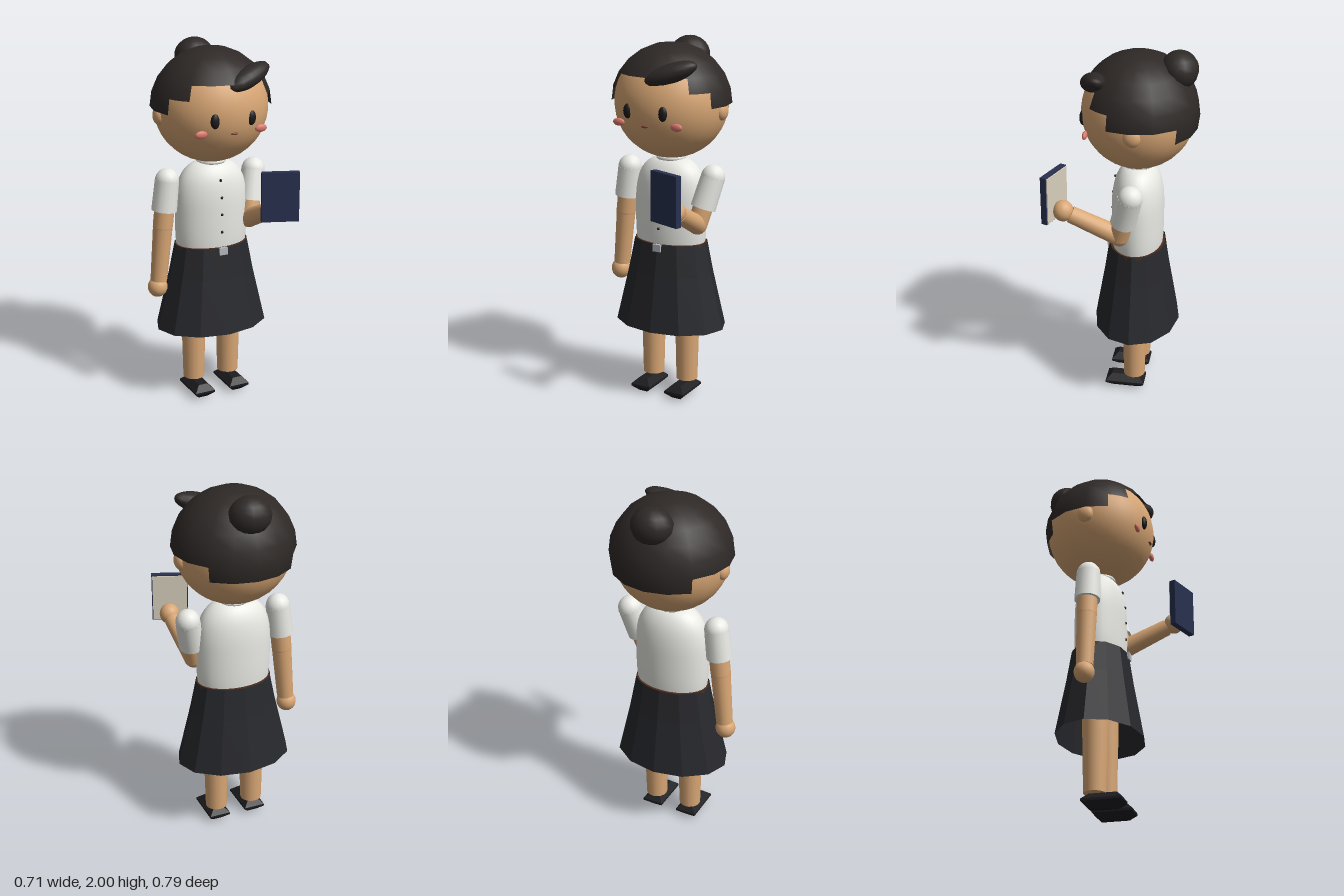
import * as THREE from 'three';

const CX = 0.023, CZ = -0.076; // body axis
const mat = (color, extra = {}) => new THREE.MeshStandardMaterial({ color, ...extra });
const V = (x, y, z) => new THREE.Vector3(x, y, z);

export function createModel() {
  const model = new THREE.Group();
  const skin = mat(0xd9a775), white = mat(0xe9e9e4), dark = mat(0x1c1a1a), shoeMat = mat(0x1d1d20, { flatShading: true });
  const hair = mat(0x2e2927, { side: THREE.DoubleSide });
  const skirtMat = mat(0x27282c, { side: THREE.DoubleSide, flatShading: true });
  const brown = mat(0x4a2c1e), pink = mat(0xdb7a6c), navy = mat(0x28314f), cream = mat(0xd8d0bd), grey = mat(0xb4b8bd);

  const add = (name, geometry, material, pos = V(0, 0, 0), parent = model) => {
    const m = new THREE.Mesh(geometry, material);
    m.name = name;
    m.position.copy(pos);
    parent.add(m);
    return m;
  };
  const ball = (name, material, pos, rx, ry = rx, rz = rx, seg = 16) => {
    const m = add(name, new THREE.SphereGeometry(1, seg, Math.round(seg * 0.75)), material, pos);
    m.scale.set(rx, ry, rz);
    return m;
  };
  // Tapered cylinder from point a to point b
  const limb = (name, material, a, b, ra, rb) => {
    const dir = b.clone().sub(a);
    const m = add(name, new THREE.CylinderGeometry(rb, ra, dir.length(), 16), material, a.clone().add(b).multiplyScalar(0.5));
    m.quaternion.setFromUnitVectors(V(0, 1, 0), dir.normalize());
    return m;
  };

  // Head and stepped hair cap: each patch [from, to, polar limit] in degrees from the face
  const headC = V(CX, 1.665, CZ - 0.002);
  ball('head', skin, headC, 0.312, 0.305, 0.302, 28);
  const hairCap = new THREE.Group();
  hairCap.name = 'hairCap';
  hairCap.position.copy(headC);
  hairCap.scale.set(0.33, 0.32, 0.32);
  model.add(hairCap);
  const rad = THREE.MathUtils.degToRad;
  const patches = [[-45, 45, 60], [45, 67.5, 75], [-67.5, -45, 75], [67.5, 135, 90], [-135, -67.5, 90], [135, 225, 105]];
  for (const [from, to, low] of patches) {
    const g = new THREE.SphereGeometry(1, (to - from) / 22.5, low / 15, rad(from + 90), rad(to - from), 0, rad(low));
    // Sphere angles run the other way round, so each patch is mirrored in x by its symmetric pair
    add('hairPatch', g, hair, V(0, 0, 0), hairCap);
  }
  ball('hairBun', hair, V(CX, 1.9, -0.285), 0.112, 0.1, 0.1, 14);
  const fringe = ball('sweptFringe', hair, V(0.138, 1.848, 0.14), 0.148, 0.052, 0.066, 14);
  fringe.rotation.set(0, rad(18), rad(20));

  // Face
  for (const s of [-1, 1]) {
    ball('eye', dark, V(CX - 0.003 + s * 0.105, 1.645, 0.2), 0.025, 0.04, 0.018);
    ball('cheek', pink, V(CX - 0.003 + s * 0.174, 1.577, 0.178), 0.035, 0.021, 0.013);
    ball('ear', skin, V(CX + s * 0.3, 1.635, -0.087), 0.032, 0.05, 0.047);
  }
  ball('mouth', mat(0x7a4436), V(CX, 1.571, 0.208), 0.021, 0.007, 0.01);

  // Neck, shirt and collar
  add('neck', new THREE.CylinderGeometry(0.06, 0.065, 0.12, 16), skin, V(CX, 1.36, CZ));
  const profile = [[0.2, 0.87], [0.208, 0.95], [0.21, 1.08], [0.206, 1.18], [0.188, 1.26], [0.155, 1.315], [0.11, 1.35], [0.06, 1.362]];
  const curve = new THREE.SplineCurve(profile.map(p => new THREE.Vector2(...p)));
  const shirt = add('shirt', new THREE.LatheGeometry(curve.getPoints(20), 28), white, V(CX, 0, CZ));
  shirt.scale.z = 0.67;
  const collar = add('collar', new THREE.TorusGeometry(0.07, 0.012, 8, 20), white, V(CX, 1.362, CZ));
  collar.rotation.x = Math.PI / 2;
  [[1.275, 0.048], [1.18, 0.062], [1.085, 0.065], [0.985, 0.065]].forEach(([y, z]) =>
    ball('shirtButton', dark, V(CX, y, z), 0.008, 0.008, 0.007, 8));

  // Skirt, belt and buckle
  const skirtLine = [[0.327, 0.413], [0.252, 0.72], [0.215, 0.897]].map(p => new THREE.Vector2(...p));
  const skirt = add('skirt', new THREE.LatheGeometry(skirtLine, 12), skirtMat, V(CX, 0, CZ));
  skirt.scale.z = 0.725;
  const belt = add('belt', new THREE.CylinderGeometry(0.211, 0.213, 0.03, 28), brown, V(CX, 0.883, CZ));
  belt.scale.z = 0.705;
  add('beltBuckle', new THREE.BoxGeometry(0.048, 0.04, 0.02), grey, V(CX, 0.88, 0.08));

  // Legs and chamfered shoes
  const sole = new THREE.Shape([[-0.026, -0.075], [0.026, -0.075], [0.026, 0.075], [-0.026, 0.075]].map(p => new THREE.Vector2(...p)));
  const shoeGeo = new THREE.ExtrudeGeometry(sole, { depth: 0.012, bevelThickness: 0.033, bevelSize: 0.034, bevelSegments: 1 });
  shoeGeo.translate(0, 0, -0.006).rotateX(Math.PI / 2);
  for (const s of [-1, 1]) {
    const x = CX - 0.002 + s * 0.108;
    limb('thigh', skin, V(x, 0.42, CZ), V(x, 0.8, CZ), 0.068, 0.075);
    limb('shin', skin, V(x, 0.085, CZ), V(x, 0.42, CZ), 0.06, 0.068);
    add('shoe', shoeGeo, shoeMat, V(x, 0.04, -0.027));
  }

  // Arms: shoulder, sleeve end, elbow, wrist, hand
  const arm = (shoulder, cuff, elbow, wrist, hand) => {
    ball('sleeveCap', white, shoulder, 0.066, 0.069, 0.066);
    limb('sleeve', white, shoulder, cuff, 0.066, 0.07);
    limb('upperArm', skin, shoulder, elbow, 0.055, 0.055);
    ball('elbow', skin, elbow, 0.055);
    limb('forearm', skin, elbow, wrist, 0.054, 0.046);
    ball('hand', skin, hand, 0.055, 0.058, 0.055);
  };
  arm(V(-0.24, 1.275, CZ), V(-0.259, 1.11, CZ), V(-0.268, 1.02, CZ), V(-0.297, 0.71, CZ), V(-0.304, 0.672, CZ));
  arm(V(0.282, 1.275, -0.073), V(0.245, 1.11, -0.03), V(0.225, 1.02, -0.005), V(0.247, 1.14, 0.25), V(0.25, 1.16, 0.29));

  // Book held in the left hand, pages towards the body
  const book = new THREE.Group();
  book.name = 'book';
  book.position.set(0.226, 1.24, 0.342);
  book.rotation.y = rad(-20);
  model.add(book);
  add('bookCover', new THREE.BoxGeometry(0.2, 0.27, 0.034), navy, V(0, 0, 0.002), book);
  add('bookPages', new THREE.BoxGeometry(0.19, 0.258, 0.008), cream, V(0, 0, -0.017), book);

  return model;
}
